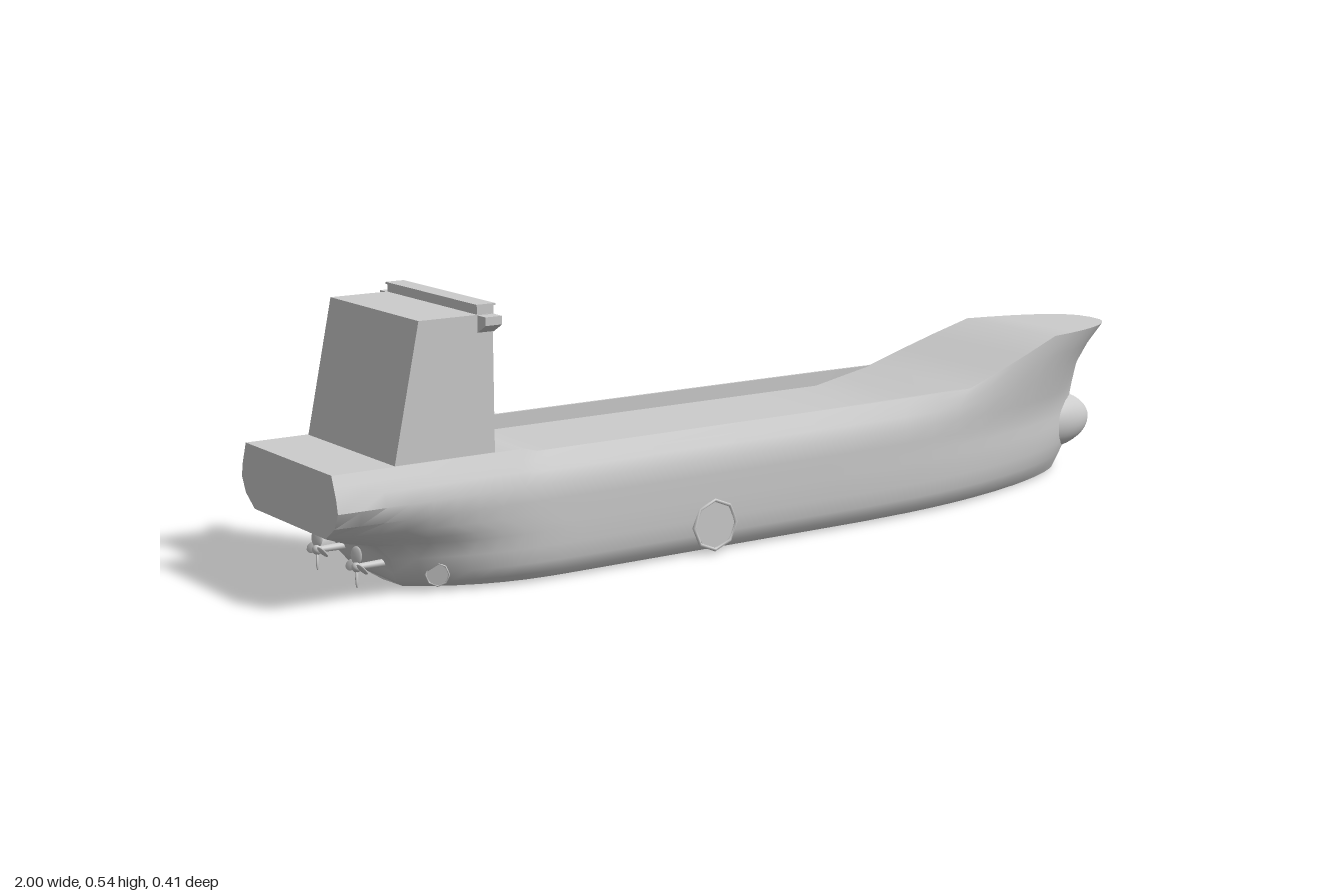
import * as THREE from 'three';
import { toCreasedNormals } from 'three/addons/utils/BufferGeometryUtils.js';

const grey = new THREE.MeshStandardMaterial({ color: 0xcccccc, side: THREE.DoubleSide });

function add(parent, name, geometry, x = 0, y = 0, z = 0) {
  const mesh = new THREE.Mesh(geometry, grey);
  mesh.name = name;
  mesh.position.set(x, y, z);
  parent.add(mesh);
  return mesh;
}

// Straight-line lookup through [x, value] pairs
function along(pairs, x) {
  if (x <= pairs[0][0]) return pairs[0][1];
  for (let i = 1; i < pairs.length; i++) {
    const [x0, v0] = pairs[i - 1], [x1, v1] = pairs[i];
    if (x <= x1) return v0 + (v1 - v0) * (x - x0) / (x1 - x0);
  }
  return pairs[pairs.length - 1][1];
}

const rail = (x) => along([[-1, 0.258], [-0.6, 0.258], [-0.57, 0.25], [0.5, 0.25], [0.76, 0.333], [1, 0.333]], x);
const deck = (x) => along([[-1, 0.258], [-0.6, 0.258], [-0.54, 0.22], [0.35, 0.22], [0.5, 0.25], [0.76, 0.333], [1, 0.333]], x);

// Waterlines, top to bottom. f: fraction between knuckle and rail, or y: fixed height.
// stern, bow: x of the ends; w: half width; end: width kept at the stern;
// p, q: fullness of the bow
const KNUCKLE = 0.19;
const waterlines = [
  { f: 1, stern: -1, bow: 1, w: 0.176, end: 1, p: 3, q: 0.4 },
  { f: 0.7, stern: -1, bow: 0.966, w: 0.184, end: 1, p: 2.8, q: 0.48 },
  { f: 0.4, stern: -1, bow: 0.946, w: 0.192, end: 1, p: 2.6, q: 0.58 },
  { f: 0, stern: -1, bow: 0.94, w: 0.202, end: 0.98, p: 2.3, q: 0.7 },
  { y: 0.16, stern: -1, bow: 0.937, w: 0.203, end: 0.9, p: 2.2, q: 0.75 },
  { y: 0.135, stern: -1, bow: 0.936, w: 0.203, end: 0.72, p: 2.2, q: 0.75 },
  { y: 0.115, stern: -0.95, bow: 0.936, w: 0.203, end: 0.62, p: 2.2, q: 0.75 },
  { y: 0.1, stern: -0.885, bow: 0.936, w: 0.203, end: 0.6, p: 2.2, q: 0.75 },
  { y: 0.07, stern: -0.855, bow: 0.93, w: 0.202, end: 0.58, p: 2.2, q: 0.75 },
  { y: 0.04, stern: -0.845, bow: 0.912, w: 0.2, end: 0.55, p: 2.2, q: 0.75 },
  { y: 0.018, stern: -0.83, bow: 0.9, w: 0.192, end: 0.5, p: 2.2, q: 0.78 },
  { y: 0.004, stern: -0.81, bow: 0.892, w: 0.178, end: 0.45, p: 2.2, q: 0.8 },
];

function halfWidth(line, x) {
  const b = THREE.MathUtils.clamp((x - 0.15) / (line.bow - 0.15), 0, 1);
  const s = THREE.MathUtils.clamp((-0.5 - x) / (-0.5 - line.stern), 0, 1);
  return line.w * Math.pow(1 - Math.pow(b, line.p), line.q) * (1 - (1 - line.end) * s ** 2.5);
}

// Hull shell, bulwarks, deck and transom from one run of closed sections
function hullGeometry() {
  const stations = [-1, -0.95, -0.9, -0.85, -0.8, -0.75, -0.7, -0.65, -0.6, -0.57, -0.54, -0.45, -0.3, -0.1,
    0.1, 0.2, 0.35, 0.43, 0.5, 0.58, 0.67, 0.76, 0.82, 0.87, 0.91, 0.94, 0.965, 0.985, 0.995, 1];
  const sections = stations.map((st) => {
    const u = (st + 1) / 2;
    const side = waterlines.map((line) => {
      const x = THREE.MathUtils.lerp(line.stern, line.bow, u);
      const y = line.y ?? KNUCKLE + (rail(x) - KNUCKLE) * line.f;
      return [x, y, halfWidth(line, x)];
    });
    const inner = Math.max(0, side[0][2] - 0.006);
    const mirror = (list) => list.map(([x, y, z]) => [x, y, -z]).reverse();
    const top = [[st, deck(st), inner], [st, rail(st), inner]];
    const keel = [[side.at(-1)[0], 0, 0]];
    return [...side, ...keel, ...mirror(side), ...mirror(top), ...top, side[0]];
  });
  const m = sections[0].length, index = [];
  for (let i = 0; i + 1 < sections.length; i++) {
    for (let j = 0; j + 1 < m; j++) {
      const a = i * m + j, c = a + m;
      index.push(a, a + 1, c, a + 1, c + 1, c);
    }
  }
  // Transom and the underside of the counter
  const n = waterlines.length;
  for (let j = 0; j < n - 1; j++) {
    const a = j, b = 2 * n - j;
    index.push(a, b, a + 1, b, b - 1, a + 1);
  }
  index.push(n - 1, n + 1, n);
  const g = new THREE.BufferGeometry();
  g.setAttribute('position', new THREE.Float32BufferAttribute(sections.flat(2), 3));
  g.setIndex(index);
  return toCreasedNormals(g, 0.6);
}

function extrude(points, depth) {
  const shape = new THREE.Shape(points.map(([x, y]) => new THREE.Vector2(x, y)));
  return new THREE.ExtrudeGeometry(shape, { depth, bevelEnabled: false }).translate(0, 0, -depth / 2);
}

// Twin screw: shaft, hub and four twisted blades
function propeller(z) {
  const group = new THREE.Group();
  group.name = 'propeller';
  group.position.set(-0.905, 0.055, z);
  add(group, 'shaft', new THREE.CylinderGeometry(0.006, 0.008, 0.08, 12).rotateZ(Math.PI / 2), 0.035);
  add(group, 'hub', new THREE.SphereGeometry(0.01, 12, 8));
  for (let i = 0; i < 4; i++) {
    const blade = new THREE.SphereGeometry(1, 10, 8).scale(0.003, 0.018, 0.012);
    blade.rotateY(0.6).translate(0, 0.022, 0).rotateX(i * Math.PI / 2);
    add(group, 'blade', blade);
  }
  return group;
}

// Round port in the side: pale disc in an eight-sided rim
function sidePort(name, radius, x, y, z) {
  const group = new THREE.Group();
  group.name = name;
  group.position.set(x, y, z);
  add(group, 'rim', new THREE.TorusGeometry(radius, radius * 0.08, 6, 8));
  add(group, 'cover', new THREE.CircleGeometry(radius * 0.9, 24), 0, 0, 0.001);
  return group;
}

export function createModel() {
  const ship = new THREE.Group();
  ship.name = 'cargoShip';

  add(ship, 'hull', hullGeometry());
  add(ship, 'bulbousBow', new THREE.SphereGeometry(1, 32, 20).scale(0.125, 0.066, 0.066), 0.86, 0.112, 0);

  // Deckhouse with raked aft wall
  add(ship, 'deckhouse', extrude([[-0.872, 0.25], [-0.66, 0.21], [-0.66, 0.52], [-0.815, 0.52]], 0.346));

  // Bridge front with overhanging wings
  const half = [[0.17, 0.485], [0.203, 0.503], [0.203, 0.519], [0.172, 0.519], [0.172, 0.535]];
  const bridge = [...half, ...half.map(([z, y]) => [-z, y]).reverse()];
  add(ship, 'bridgeWings', extrude(bridge, 0.035).rotateY(Math.PI / 2), -0.675);
  add(ship, 'bridgeRoof', new THREE.BoxGeometry(0.04, 0.004, 0.35), -0.675, 0.537);

  // Small deck fittings by the break of the aft deck
  for (const s of [1, -1]) {
    add(ship, 'deckFitting', new THREE.BoxGeometry(0.035, 0.006, 0.004), -0.54, 0.223, s * 0.158);
    ship.add(propeller(s * 0.08));
  }

  // Ports on one side
  ship.add(sidePort('sidePort', 0.05, -0.18, 0.057, 0.202));
  const aft = sidePort('aftPort', 0.022, -0.775, 0.036, halfWidth(waterlines[9], -0.775) + 0.002);
  aft.rotation.y = -0.6;
  ship.add(aft);
  return ship;
}
